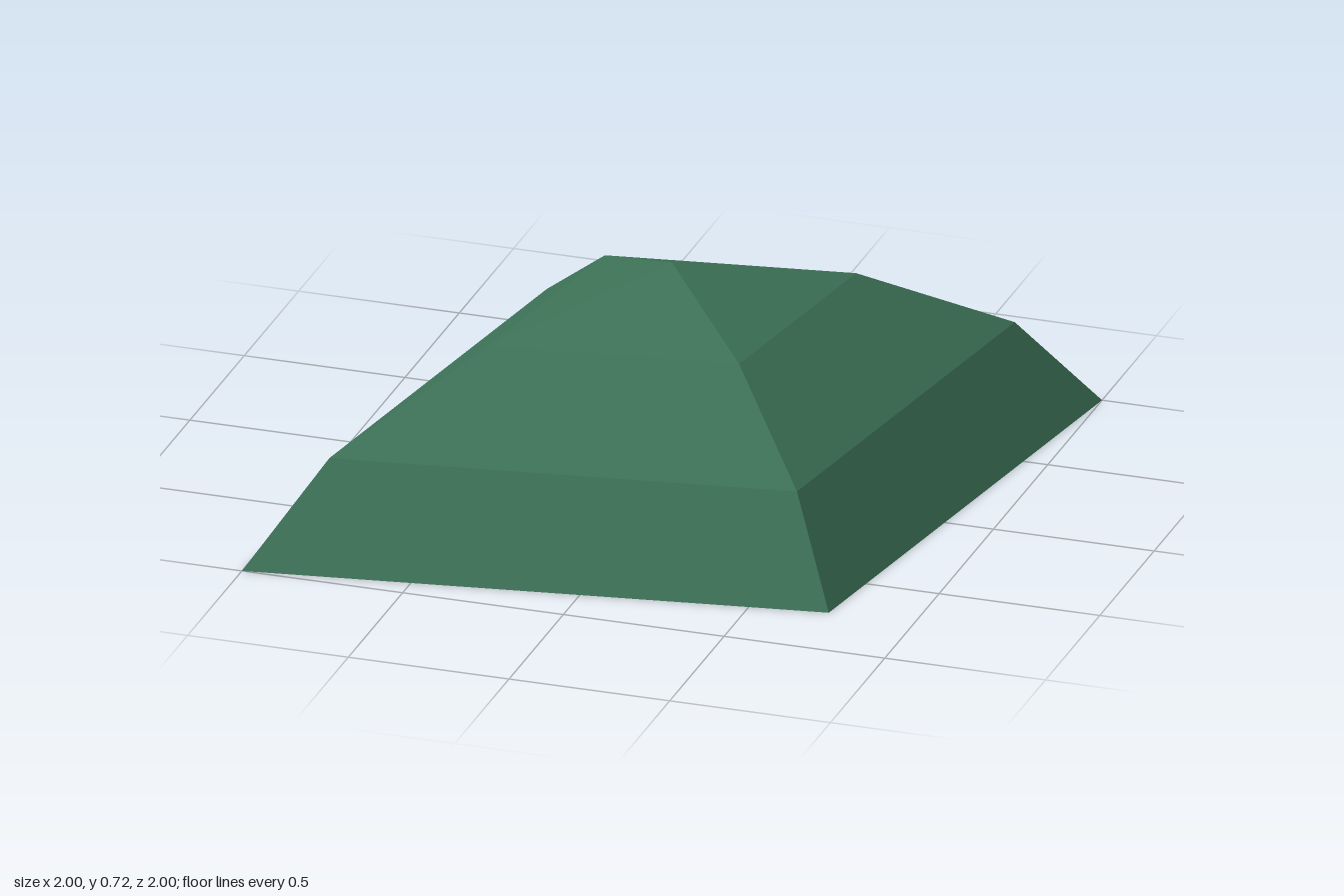
import * as THREE from 'three';

const green = new THREE.MeshStandardMaterial({ color: 0x3d7257, flatShading: true });
green.name = 'green';

export function createModel() {
  const model = new THREE.Group();
  model.name = 'facetedDome';

  // Closed half profile: flat base, two sloping tiers, shallow cap
  const profile = [[0, 0], [1, 0], [0.797, 0.307], [0.428, 0.566], [0, 0.718]]
    .map(([r, y]) => new THREE.Vector2(r, y));
  const geometry = new THREE.LatheGeometry(profile, 4);

  // Skew the four-sided plan into a rhombus: long diagonal 1, short diagonal 0.737
  const short = 0.737;
  geometry.applyMatrix4(new THREE.Matrix4().set(
    short, 0, -1, 0,
    0, 1, 0, 0,
    short, 0, 1, 0,
    0, 0, 0, 1
  ));
  const flat = geometry.toNonIndexed();
  flat.computeVertexNormals();

  const dome = new THREE.Mesh(flat, green);
  dome.name = 'dome';
  model.add(dome);
  return model;
}
